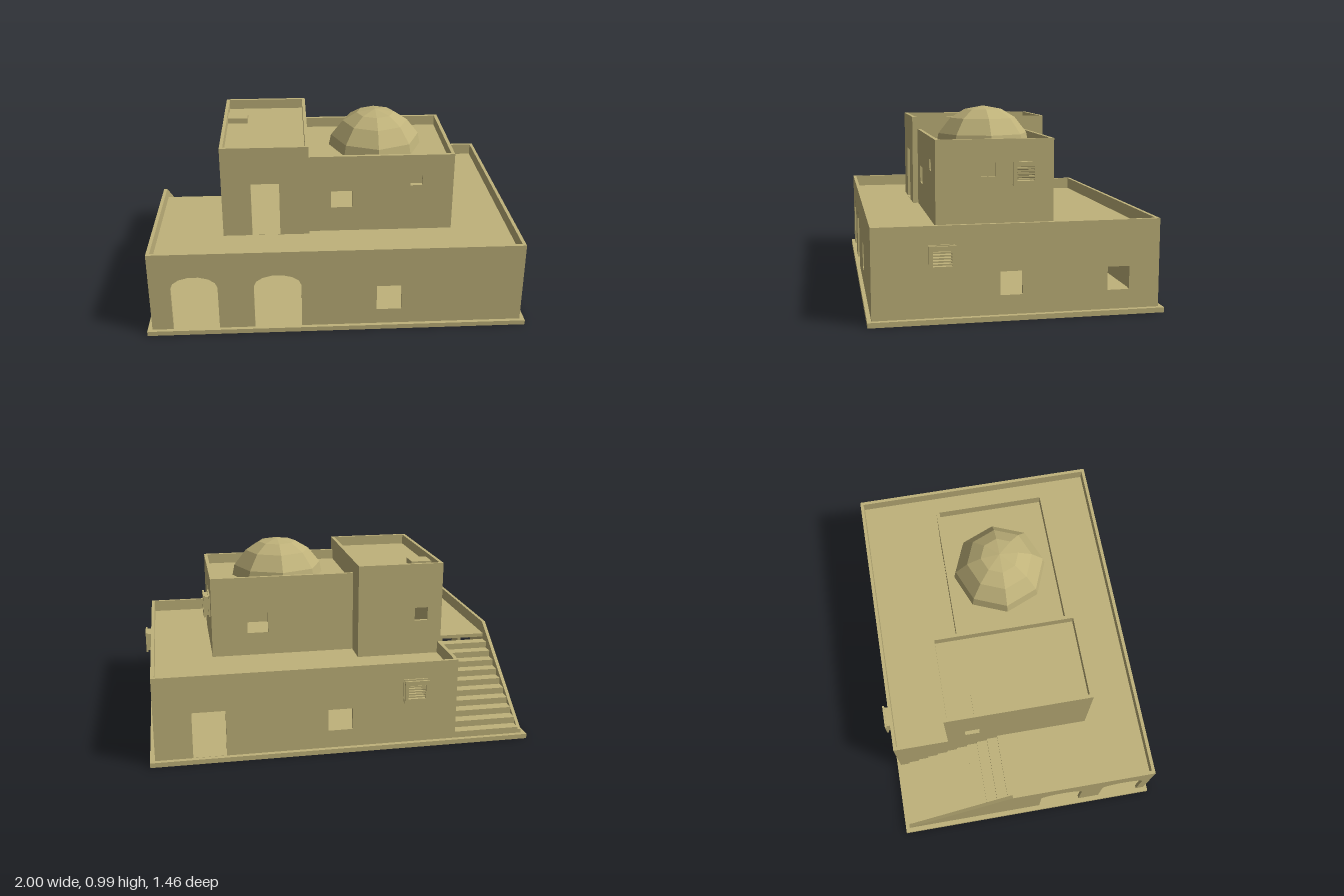
import * as THREE from 'three';

const sand = new THREE.MeshStandardMaterial({ color: 0xbfb27a, flatShading: true, side: THREE.DoubleSide });
const T = 0.018; // wall thickness
const FLOOR = 0.025, TERRACE = 0.4, PARAPET = 0.465;

function add(parent, name, geometry) {
  const mesh = new THREE.Mesh(geometry, sand);
  mesh.name = name;
  parent.add(mesh);
  return mesh;
}

// Box given by its limits
function box(parent, name, x0, x1, y0, y1, z0, z1) {
  const mesh = add(parent, name, new THREE.BoxGeometry(x1 - x0, y1 - y0, z1 - z0));
  mesh.position.set((x0 + x1) / 2, (y0 + y1) / 2, (z0 + z1) / 2);
  return mesh;
}

const polygon = pts => pts.map(p => new THREE.Vector2(p[0], p[1]));
const rect = (u0, u1, v0, v1) => [[u0, v0], [u1, v0], [u1, v1], [u0, v1]];

// Opening with a low faceted arch
function arch(u0, u1, spring = 0.268, rise = 0.064) {
  const pts = [[u0, FLOOR], [u1, FLOOR]], c = (u0 + u1) / 2, r = (u1 - u0) / 2;
  for (let i = 0; i <= 7; i++) {
    const a = Math.PI * i / 7;
    pts.push([c + r * Math.cos(a), spring + rise * Math.sin(a)]);
  }
  return pts;
}

function panel(outline, holes, depth) {
  const shape = new THREE.Shape(polygon(outline));
  holes.forEach(h => shape.holes.push(new THREE.Path(polygon(h))));
  return new THREE.ExtrudeGeometry(shape, { depth, bevelEnabled: false });
}

// Wall facing z, starting at z = z0
function wallZ(parent, name, outline, holes, z0) {
  add(parent, name, panel(outline, holes, T)).position.z = z0;
}

// Wall facing x, drawn in (z, y), with its larger x face at x1
function wallX(parent, name, outline, holes, x1) {
  const mesh = add(parent, name, panel(outline, holes, T));
  mesh.rotation.y = -Math.PI / 2;
  mesh.position.x = x1;
}

// Projecting slatted window, built facing +z
function lattice(parent, x, y, z, angle, depth) {
  const g = new THREE.Group();
  g.name = 'latticeWindow';
  const hole = rect(-0.046, 0.046, -0.036, 0.036);
  const ring = (name, w, h, z0, d) => {
    add(g, name, panel(rect(-w, w, -h, h), [hole], d)).position.z = z0;
  };
  ring('wallFrame', 0.064, 0.06, 0, 0.008);
  ring('collar', 0.055, 0.051, 0.008, depth - 0.018);
  ring('outerFrame', 0.064, 0.06, depth - 0.01, 0.01);
  for (let i = -2; i <= 2; i++) {
    const y0 = i * 0.014;
    box(g, 'slat', -0.046, 0.046, y0 - 0.004, y0 + 0.004, depth - 0.016, depth - 0.006);
  }
  g.position.set(x, y, z);
  g.rotation.y = angle;
  parent.add(g);
}

export function createModel() {
  const model = new THREE.Group();
  model.name = 'courtyardHouse';
  box(model, 'baseSlab', -1, 0.985, 0, FLOOR, -0.715, 0.73);

  // Ground floor walls
  const ground = new THREE.Group();
  ground.name = 'groundFloor';
  model.add(ground);
  const x0 = -0.975, x1 = 0.96, z0 = -0.692, z1 = 0.71, xs = -0.605, stairTop = -0.11;
  wallZ(ground, 'frontWall', rect(x0, x1, FLOOR, PARAPET), [
    arch(-0.865, -0.625), arch(-0.44, -0.195), rect(0.195, 0.325, 0.11, 0.25),
  ], z1 - T);
  wallZ(ground, 'backWall', rect(xs, x1, FLOOR, PARAPET), [
    rect(0.6, 0.77, FLOOR + 0.001, 0.27), rect(-0.05, 0.077, 0.12, 0.235), rect(-0.426, -0.334, 0.279, 0.351),
  ], z0);
  wallX(ground, 'leftWall', rect(z0 + T, z1 - T, FLOOR, PARAPET), [
    rect(-0.01, 0.1, 0.12, 0.235), rect(-0.54, -0.43, 0.12, 0.235), rect(0.334, 0.426, 0.279, 0.351),
  ], x1);
  // Arcade wall sloping down beside the stairs
  wallX(ground, 'rightWall', [
    [z0, FLOOR], [z1 - T, FLOOR], [z1 - T, PARAPET], [-0.085, PARAPET], [z0, 0.045],
  ], [arch(0.08, 0.315), arch(0.435, 0.665)], x0 + T);
  wallX(ground, 'stairWall', [
    [z0 + T, FLOOR], [stairTop, FLOOR], [stairTop, TERRACE], [-0.385, TERRACE], [-0.385, PARAPET], [z0 + T, PARAPET],
  ], [], xs + T);
  lattice(ground, -0.38, 0.315, z0, Math.PI, 0.038);
  lattice(ground, x1, 0.315, 0.38, Math.PI / 2, 0.04);

  // Terrace, leaving the stairwell open
  box(ground, 'terrace', xs + T, x1 - T, TERRACE - 0.02, TERRACE, z0 + T, z1 - T);
  box(ground, 'terraceLanding', x0 + T, xs + T, TERRACE - 0.02, TERRACE, stairTop, z1 - T);

  // Stairs
  const stairs = new THREE.Group();
  stairs.name = 'stairs';
  model.add(stairs);
  const steps = 10, run = 0.0587, rise = (TERRACE - FLOOR) / (steps + 1);
  for (let i = 0; i < steps; i++) {
    const z = stairTop - (steps - i) * run;
    box(stairs, 'step', x0 + T, xs, FLOOR, FLOOR + (i + 1) * rise, Math.max(z, z0), z + run);
  }

  // Tall stair room with a roof hatch
  const tall = new THREE.Group();
  tall.name = 'tallRoom';
  model.add(tall);
  const ax1 = -0.142, az0 = -0.385, az1 = 0.395, aTop = 0.905;
  wallZ(tall, 'frontWall', rect(xs, ax1, TERRACE, aTop), [rect(-0.45, -0.3, TERRACE + 0.001, 0.7)], az1 - T);
  wallZ(tall, 'backWall', rect(xs, ax1, TERRACE, aTop), [rect(-0.527, -0.455, 0.59, 0.662)], az0);
  wallX(tall, 'rightWall', rect(az0 + T, az1 - T, TERRACE, aTop), [rect(-0.285, -0.205, 0.55, 0.635)], xs + T);
  wallX(tall, 'leftWall', rect(az0 + T, az1 - T, TERRACE, aTop), [], ax1);
  box(tall, 'roof', xs + T, ax1 - T, 0.83, 0.85, az0 + T, az1 - T);
  box(tall, 'roofHatch', xs + T, -0.475, 0.85, 0.88, -0.225, -0.118);

  // Domed room
  const domed = new THREE.Group();
  domed.name = 'domedRoom';
  model.add(domed);
  const bx1 = 0.632, bz0 = -0.245, bz1 = 0.365, bTop = 0.835;
  wallZ(domed, 'frontWall', rect(ax1, bx1, TERRACE, bTop), [
    rect(-0.025, 0.09, 0.54, 0.635), rect(0.4, 0.465, 0.66, 0.717),
  ], bz1 - T);
  wallZ(domed, 'backWall', rect(ax1, bx1, TERRACE, bTop), [rect(0.327, 0.44, 0.525, 0.635)], bz0);
  wallX(domed, 'leftWall', rect(bz0 + T, bz1 - T, TERRACE, bTop), [
    rect(0.055, 0.132, 0.645, 0.715), rect(-0.138, -0.046, 0.624, 0.696),
  ], bx1);
  box(domed, 'roof', ax1, bx1 - T, 0.76, 0.78, bz0 + T, bz1 - T);
  lattice(domed, bx1, 0.66, -0.092, Math.PI / 2, 0.035);

  // Eight-sided dome
  const profile = polygon([[0.257, 0.77], [0.243, 0.838], [0.178, 0.92], [0.102, 0.966], [0, 0.985]]);
  add(domed, 'dome', new THREE.LatheGeometry(profile, 8)).position.set(0.235, 0, 0.05);

  return model;
}
